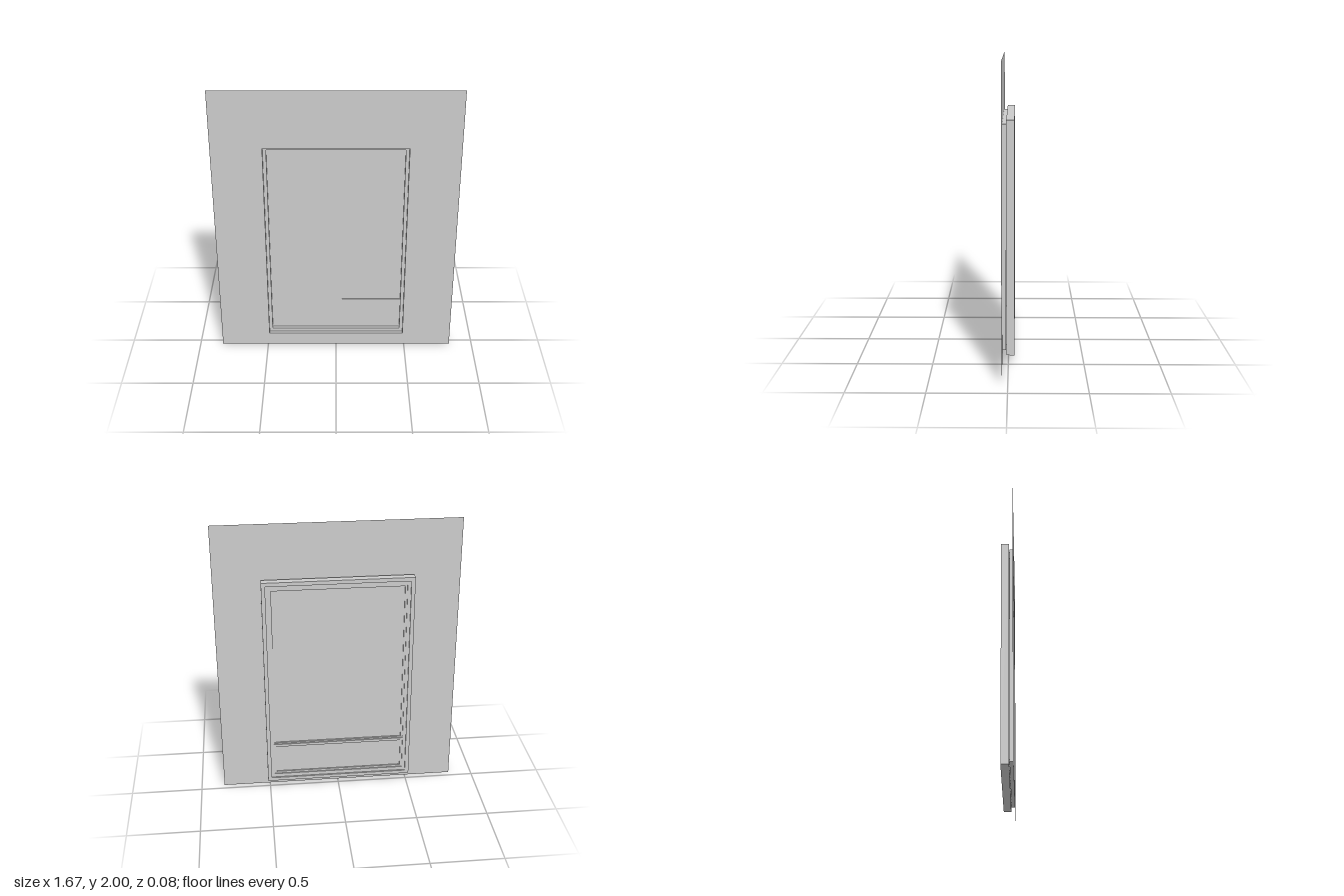
import * as THREE from 'three';

const grey = new THREE.MeshStandardMaterial({ color: 0xcccccc, side: THREE.DoubleSide });

// Rectangle outline, symmetric in x, between two heights
function rect(Type, halfWidth, bottom, top) {
  const p = new Type();
  p.moveTo(-halfWidth, bottom);
  p.lineTo(halfWidth, bottom);
  p.lineTo(halfWidth, top);
  p.lineTo(-halfWidth, top);
  p.closePath();
  return p;
}

// Outlines of the nested frames: [half width, bottom, top]
const WALL = [0.835, 0, 2];
const OUTER = [0.515, 0.068, 1.62];
const OPENING = [0.488, 0.093, 1.593];
const SIGHT = [0.465, 0.12, 1.568];
const BEAD = [0.45, 0.135, 1.553];

function ringShape(outer, inner) {
  const s = rect(THREE.Shape, ...outer);
  s.holes.push(rect(THREE.Path, ...inner));
  return s;
}

export function createModel() {
  const model = new THREE.Group();

  const add = (name, geometry) => {
    const mesh = new THREE.Mesh(geometry, grey);
    mesh.name = name;
    model.add(mesh);
    return mesh;
  };

  const ring = (name, outer, inner, back, front) => {
    const g = new THREE.ExtrudeGeometry(ringShape(outer, inner), { depth: front - back, bevelEnabled: false });
    add(name, g.translate(0, 0, back));
  };

  const box = (name, halfWidth, bottom, top, back, front) => {
    const g = new THREE.BoxGeometry(halfWidth * 2, top - bottom, front - back);
    add(name, g.translate(0, (bottom + top) / 2, (back + front) / 2));
  };

  // Thin wall sheet with the window opening
  add('wall', new THREE.ShapeGeometry(ringShape(WALL, OPENING))).position.z = 0.04;

  // Thin reveal lining from the wall back to the frame
  const [w, bottom, top] = OPENING;
  const height = top - bottom, mid = (top + bottom) / 2;
  for (const side of [-1, 1]) {
    const jamb = add(side > 0 ? 'leftReveal' : 'rightReveal', new THREE.PlaneGeometry(0.025, height));
    jamb.rotation.y = -side * Math.PI / 2;
    jamb.position.set(side * w, mid, 0.0275);
    const ledge = add(side > 0 ? 'topReveal' : 'bottomReveal', new THREE.PlaneGeometry(w * 2, 0.025));
    ledge.rotation.x = side * Math.PI / 2;
    ledge.position.set(0, mid + side * height / 2, 0.0275);
  }

  // Frame with a stepped back, and the bead holding the panes
  ring('outerFrame', OUTER, OPENING, -0.04, 0.013);
  ring('innerFrame', OPENING, SIGHT, -0.03, 0.013);
  ring('glazingBead', SIGHT, BEAD, -0.023, -0.014);

  // Upper and lower panes, parted by a fine joint
  const joint = 0.363;
  box('upperPane', SIGHT[0], joint + 0.0015, SIGHT[2], -0.014, -0.01);
  box('lowerPane', SIGHT[0], SIGHT[1], joint - 0.0015, -0.014, -0.01);

  // Crossbar behind the joint, with a raised rib
  box('crossbar', SIGHT[0], joint - 0.017, joint + 0.017, -0.026, -0.014);
  box('crossbarRib', SIGHT[0], joint - 0.007, joint + 0.007, -0.033, -0.026);

  return model;
}
